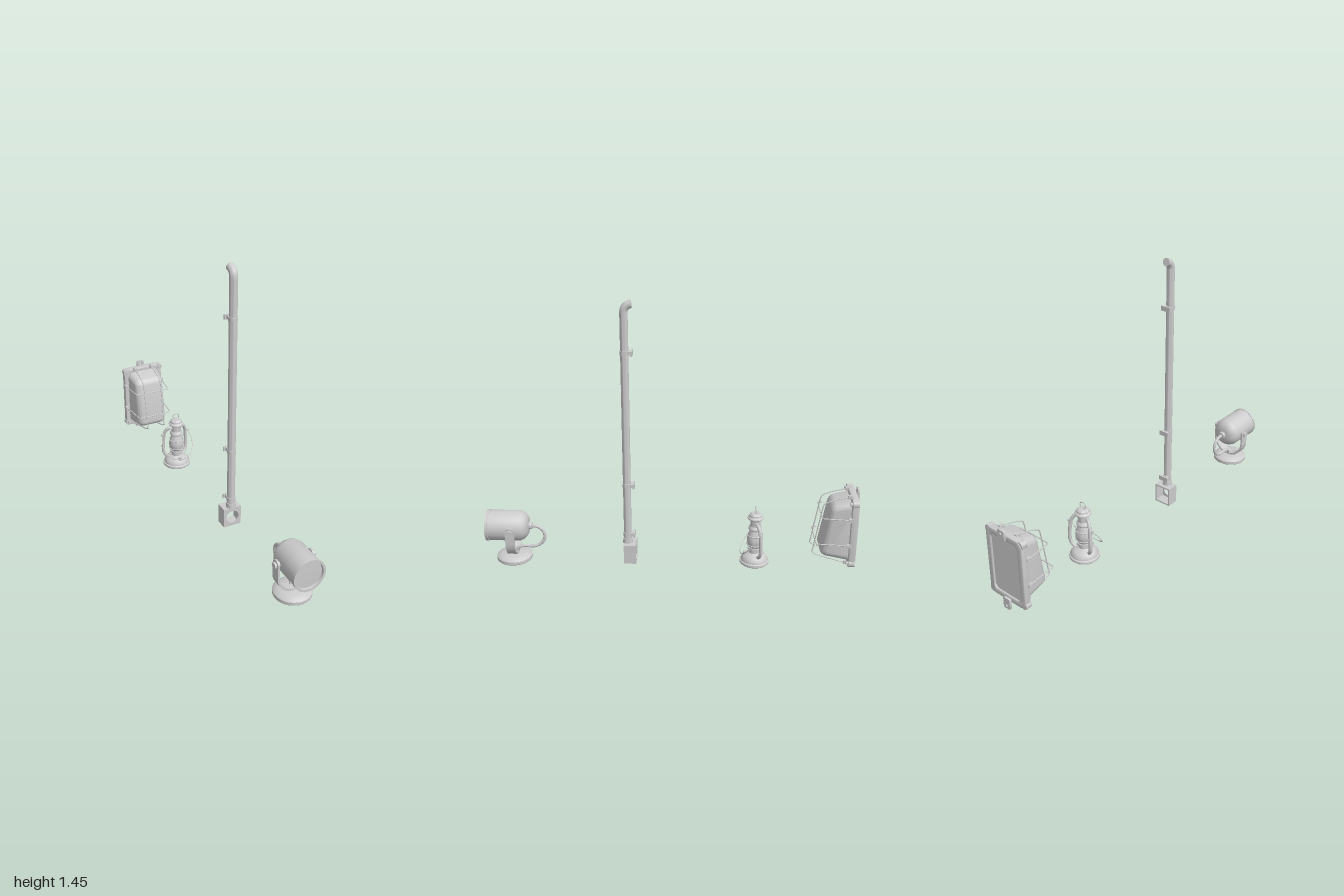
import * as THREE from 'three';
import { toCreasedNormals } from 'three/addons/utils/BufferGeometryUtils.js';
import { RoundedBoxGeometry } from 'three/addons/geometries/RoundedBoxGeometry.js';

const grey = new THREE.MeshStandardMaterial({ color: 0xcccccc, side: THREE.DoubleSide });
const V = (x, y, z) => new THREE.Vector3(x, y, z);

function add(parent, name, geo, x = 0, y = 0, z = 0) {
  const m = new THREE.Mesh(toCreasedNormals(geo, 0.6), grey);
  m.name = name;
  m.position.set(x, y, z);
  parent.add(m);
  return m;
}
const box = (w, h, d) => new THREE.BoxGeometry(w, h, d);
const lathe = (pts, seg = 32) => new THREE.LatheGeometry(pts.map(p => new THREE.Vector2(...p)), seg);
const wire = (pts, r, seg = 40, tension = 0.35) =>
  new THREE.TubeGeometry(new THREE.CatmullRomCurve3(pts, false, 'catmullrom', tension), seg, r, 8);
const extrude = (shape, depth, bevel = 0) => new THREE.ExtrudeGeometry(shape, {
  depth, bevelEnabled: bevel > 0, bevelSize: bevel, bevelThickness: bevel, bevelSegments: 3, curveSegments: 12 });

// Rounded rectangle centred on the origin
function roundRect(w, h, r, Type = THREE.Shape) {
  const s = new Type(), a = w / 2, b = h / 2;
  s.moveTo(-a + r, -b);
  s.lineTo(a - r, -b); s.absarc(a - r, -b + r, r, -Math.PI / 2, 0);
  s.lineTo(a, b - r); s.absarc(a - r, b - r, r, 0, Math.PI / 2);
  s.lineTo(-a + r, b); s.absarc(-a + r, b - r, r, Math.PI / 2, Math.PI);
  s.lineTo(-a, -b + r); s.absarc(-a + r, -b + r, r, Math.PI, Math.PI * 1.5);
  return s;
}

function spotlight() {
  const g = new THREE.Group();
  g.name = 'spotlight';
  // Round foot
  add(g, 'spotlightBase', lathe([[0, 0], [0.094, 0], [0.097, 0.004], [0.097, 0.02], [0.09, 0.027], [0.07, 0.036], [0, 0.038]], 40), 0, 0, 0.861);
  // Housing with domed back and recessed lens
  const body = lathe([[0, 0.755], [0.018, 0.755], [0.02, 0.758], [0.02, 0.773], [0.045, 0.775], [0.062, 0.785], [0.076, 0.801],
    [0.083, 0.82], [0.083, 0.985], [0.086, 0.985], [0.086, 1], [0.074, 1], [0.072, 0.988], [0, 0.99]], 40);
  add(g, 'spotlightHousing', body.rotateX(Math.PI / 2), 0, 0.198, 0);
  // U-shaped yoke
  const u = new THREE.Shape();
  u.moveTo(-0.1, 0.2);
  u.lineTo(-0.1, 0.135); u.absarc(0, 0.135, 0.1, Math.PI, Math.PI * 2);
  u.lineTo(0.1, 0.2); u.lineTo(0.09, 0.2);
  u.lineTo(0.09, 0.135); u.absarc(0, 0.135, 0.09, 0, Math.PI, true);
  u.lineTo(-0.09, 0.2);
  add(g, 'yoke', extrude(u, 0.05), 0, 0, 0.836);
  for (const s of [-1, 1]) {
    add(g, 'yokeEnd', new THREE.CylinderGeometry(0.025, 0.025, 0.01, 24).rotateZ(Math.PI / 2), s * 0.095, 0.2, 0.861);
    add(g, 'pivotKnob', new THREE.CylinderGeometry(0.016, 0.016, 0.03, 16).rotateZ(Math.PI / 2), s * 0.096, 0.198, 0.861);
  }
  // Cable looping from the back to the foot
  add(g, 'cable', wire([V(0, 0.198, 0.765), V(0, 0.192, 0.725), V(0, 0.165, 0.695), V(0, 0.125, 0.69), V(0, 0.09, 0.712),
    V(0, 0.073, 0.75), V(0, 0.074, 0.8), V(0, 0.065, 0.835), V(0, 0.034, 0.85)], 0.009, 48, 0.5));
  return g;
}

function conduit() {
  const g = new THREE.Group();
  g.name = 'conduit';
  const z = 0.232, r = 0.021;
  // Pipe with its bent top
  const path = new THREE.CurvePath();
  path.add(new THREE.LineCurve3(V(0, 0.1, z), V(0, 1.385, z)));
  add(g, 'pipe', new THREE.CylinderGeometry(r, r, 1.285, 24), 0, 0.7425, z);
  const bend = new THREE.QuadraticBezierCurve3(V(0, 1.385, z), V(0, 1.421, z), V(0, 1.429, 0.194));
  add(g, 'pipeBend', new THREE.TubeGeometry(bend, 12, r, 24));
  const cap = add(g, 'pipeEnd', new THREE.CircleGeometry(r, 24), 0, 1.429, 0.194);
  cap.lookAt(bend.getPoint(1).add(bend.getTangent(1)));
  // Wall clamps
  for (const y of [0.16, 0.45, 1.18]) {
    add(g, 'clampRing', new THREE.CylinderGeometry(0.024, 0.024, 0.022, 24), 0, y, z);
    add(g, 'clampArm', box(0.036, 0.018, 0.025), 0, y, 0.208);
    add(g, 'clampPlate', box(0.058, 0.026, 0.009), 0, y, 0.195);
  }
  // Open-backed junction box with a round front hole
  const face = roundRect(0.1, 0.11, 0.002);
  face.holes.push(new THREE.Path().absarc(0, 0, 0.036, 0, Math.PI * 2, true));
  add(g, 'boxFace', extrude(face, 0.007), 0, 0.055, 0.245);
  for (const s of [-1, 1]) {
    add(g, 'boxSide', box(0.008, 0.11, 0.064), s * 0.046, 0.055, 0.217);
    add(g, 'boxEnd', box(0.1, 0.008, 0.064), 0, 0.055 + s * 0.051, 0.217);
  }
  add(g, 'boxCollar', new THREE.CylinderGeometry(0.025, 0.027, 0.03, 24), 0, 0.122, z);
  return g;
}

function lantern() {
  const g = new THREE.Group();
  g.name = 'lantern';
  g.position.z = -0.46;
  // Fuel tank and burner
  add(g, 'fuelTank', lathe([[0, 0], [0.076, 0], [0.08, 0.004], [0.08, 0.016], [0.073, 0.02], [0.071, 0.03], [0.062, 0.044],
    [0.048, 0.053], [0.034, 0.057], [0.028, 0.062], [0.028, 0.078], [0.038, 0.084], [0.038, 0.094], [0, 0.096]]));
  add(g, 'fillerCap', new THREE.CylinderGeometry(0.011, 0.011, 0.02, 16), 0, 0.055, 0.052);
  // Glass globe
  add(g, 'globe', lathe([[0.029, 0.09], [0.037, 0.105], [0.043, 0.125], [0.044, 0.14], [0.04, 0.162], [0.032, 0.185], [0.027, 0.2]]));
  for (const y of [0.112, 0.168]) add(g, 'globeGuard', new THREE.TorusGeometry(0.0415, 0.003, 6, 32).rotateX(Math.PI / 2), 0, y, 0);
  // Chimney and vented hood
  add(g, 'chimney', lathe([[0, 0.196], [0.034, 0.198], [0.037, 0.204], [0.035, 0.214], [0.028, 0.222], [0.028, 0.255], [0.034, 0.262],
    [0.043, 0.266], [0.043, 0.272], [0.034, 0.28], [0.033, 0.288], [0.024, 0.296], [0, 0.299]]));
  add(g, 'topRing', new THREE.TorusGeometry(0.018, 0.0025, 8, 24), 0, 0.315, 0);
  // Side air tubes
  for (const s of [-1, 1]) {
    add(g, 'airTube', wire([V(s * 0.045, 0.045, -0.015), V(s * 0.066, 0.07, -0.025), V(s * 0.073, 0.1, -0.029), V(s * 0.071, 0.16, -0.028),
      V(s * 0.065, 0.21, -0.022), V(s * 0.048, 0.24, -0.012), V(s * 0.024, 0.243, 0)], 0.0095, 32, 0.5));
    add(g, 'bailPivot', new THREE.CylinderGeometry(0.007, 0.007, 0.02, 12).rotateZ(Math.PI / 2), s * 0.077, 0.2, -0.022);
  }
  // Wire bail hanging down in front
  add(g, 'bail', wire([V(-0.08, 0.2, -0.022), V(-0.092, 0.165, 0.004), V(-0.088, 0.12, 0.036), V(-0.06, 0.082, 0.065), V(0, 0.065, 0.079),
    V(0.06, 0.082, 0.065), V(0.088, 0.12, 0.036), V(0.092, 0.165, 0.004), V(0.08, 0.2, -0.022)], 0.0025, 48, 0.5));
  return g;
}

function bulkheadLight() {
  const g = new THREE.Group();
  g.name = 'bulkheadLight';
  const cy = 0.235, zb = -0.95;
  // Hollow-backed frame and its back panel
  const frame = roundRect(0.234, 0.376, 0.035);
  frame.holes.push(roundRect(0.19, 0.33, 0.03, THREE.Path));
  add(g, 'frame', extrude(frame, 0.027, 0.005), 0, cy, -0.983);
  add(g, 'backPanel', extrude(roundRect(0.2, 0.34, 0.03), 0.02), 0, cy, -0.98);
  // Tapered glass whose front leans back
  const glass = new RoundedBoxGeometry(0.2, 0.35, 0.3, 6, 0.038), p = glass.attributes.position;
  for (let i = 0; i < p.count; i++) {
    const t = Math.max(0, p.getZ(i) / 0.15);
    p.setXYZ(i, p.getX(i) * (1 - 0.13 * t), p.getY(i) * (1 - 0.17 * t), p.getZ(i) * (p.getZ(i) > 0 ? 0.84 : 0.15) - 0.14 * p.getY(i) * t);
  }
  glass.computeVertexNormals();
  add(g, 'glass', glass, 0, cy, zb);
  // Wire guard: upright hoops and cross hoops
  const front = y => -0.77 - 0.16 * (y - 0.13);
  for (const x of [-0.055, 0.055]) {
    add(g, 'guardUpright', wire([V(x, 0.035, zb), V(x, 0.055, -0.88), V(x, 0.082, -0.79), V(x, 0.1, front(0.1)), V(x, 0.13, front(0.13)),
      V(x, 0.35, front(0.35)), V(x, 0.38, front(0.38) - 0.004), V(x, 0.394, -0.835), V(x, 0.41, -0.88), V(x, 0.425, zb)], 0.0032, 60));
    for (const y of [0.04, 0.425]) add(g, 'guardSocket', box(0.018, 0.018, 0.024), x, y, -0.948);
  }
  for (const y of [0.17, 0.32]) {
    const f = front(y), side = [[0.12, zb], [0.112, -0.88], [0.104, f - 0.02], [0.09, f - 0.002]];
    const pts = side.map(([x, z]) => V(-x, y, z)).concat(side.reverse().map(([x, z]) => V(x, y, z)));
    add(g, 'guardCrossbar', wire(pts, 0.0032, 60));
    for (const s of [-1, 1]) add(g, 'guardSocket', box(0.018, 0.018, 0.024), s * 0.119, y, -0.948);
  }
  // Corner lugs with bolts
  for (const sx of [-1, 1]) for (const sy of [-1, 1]) {
    const x = sx * 0.107, y = cy + sy * 0.173;
    add(g, 'cornerLug', new THREE.CylinderGeometry(0.02, 0.02, 0.034, 20).rotateX(Math.PI / 2), x, y, -0.968);
    add(g, 'cornerBolt', new THREE.CylinderGeometry(0.01, 0.01, 0.014, 6).rotateX(Math.PI / 2), x, y, -0.947);
  }
  // Mounting tabs above and below
  for (const s of [-1, 1]) {
    const tab = roundRect(0.044, 0.06, 0.006);
    tab.holes.push(new THREE.Path().absarc(0, s * 0.012, 0.007, 0, Math.PI * 2, true));
    add(g, 'mountingTab', extrude(tab, 0.012), 0, 0.228 + s * 0.197, -1);
  }
  return g;
}

export function createModel() {
  const model = new THREE.Group();
  model.name = 'lampSet';
  model.add(spotlight(), conduit(), lantern(), bulkheadLight());
  return model;
}
